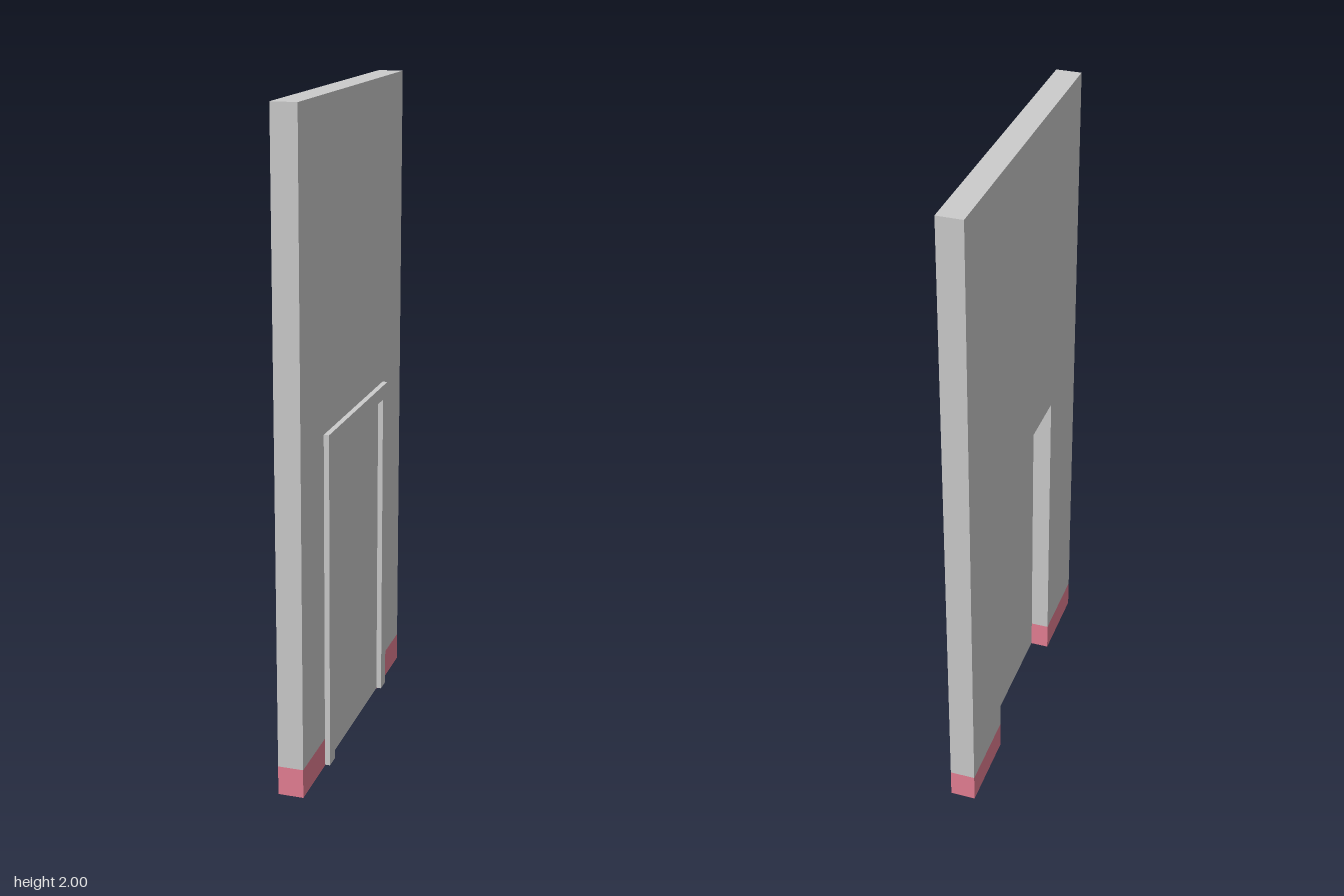
import * as THREE from 'three';

const BACK = -0.047, FACE = 0.03, TRIM = 0.046; // planes along x
const HALF_DOOR = 0.25, DOOR_TOP = 1.003, SKIRT = 0.09;

const grey = new THREE.MeshStandardMaterial({ color: 0xcccccc, flatShading: true });
const red = new THREE.MeshStandardMaterial({ color: 0xe57f93, flatShading: true });

// Upside-down U outline extruded between two planes along x
function arch(name, halfOuter, bottom, top, halfInner, innerTop, x0, x1) {
  const shape = new THREE.Shape([
    [-halfOuter, bottom], [-halfInner, bottom], [-halfInner, innerTop], [halfInner, innerTop],
    [halfInner, bottom], [halfOuter, bottom], [halfOuter, top], [-halfOuter, top],
  ].map(([u, v]) => new THREE.Vector2(u, v)));
  const geometry = new THREE.ExtrudeGeometry(shape, { depth: x1 - x0, bevelEnabled: false });
  geometry.rotateY(Math.PI / 2).translate(x0, 0, 0);
  const mesh = new THREE.Mesh(geometry, grey);
  mesh.name = name;
  return mesh;
}

// Box given by its limits on each axis
function block(name, material, x0, x1, y0, y1, z0, z1) {
  const geometry = new THREE.BoxGeometry(x1 - x0, y1 - y0, z1 - z0);
  geometry.translate((x0 + x1) / 2, (y0 + y1) / 2, (z0 + z1) / 2);
  const mesh = new THREE.Mesh(geometry, material);
  mesh.name = name;
  return mesh;
}

export function createModel() {
  const model = new THREE.Group();
  model.name = 'wallWithDoor';

  // Wall above the coloured base, with the doorway cut out
  model.add(arch('wall', 0.5, SKIRT, 2, HALF_DOOR, DOOR_TOP, BACK, FACE));

  // Coloured base on both sides of the doorway
  model.add(block('leftWallBase', red, BACK, FACE, 0, SKIRT, HALF_DOOR, 0.5));
  model.add(block('rightWallBase', red, BACK, FACE, 0, SKIRT, -0.5, -HALF_DOOR));

  // Raised trim around the doorway, on one face only
  model.add(arch('doorFrame', 0.298, 0.003, 1.048, HALF_DOOR, DOOR_TOP, FACE, TRIM));

  // Door leaf set near the trimmed face, leaving a deep recess behind it
  model.add(block('door', grey, 0.01, FACE, 0.002, DOOR_TOP, -HALF_DOOR, HALF_DOOR));

  return model;
}
